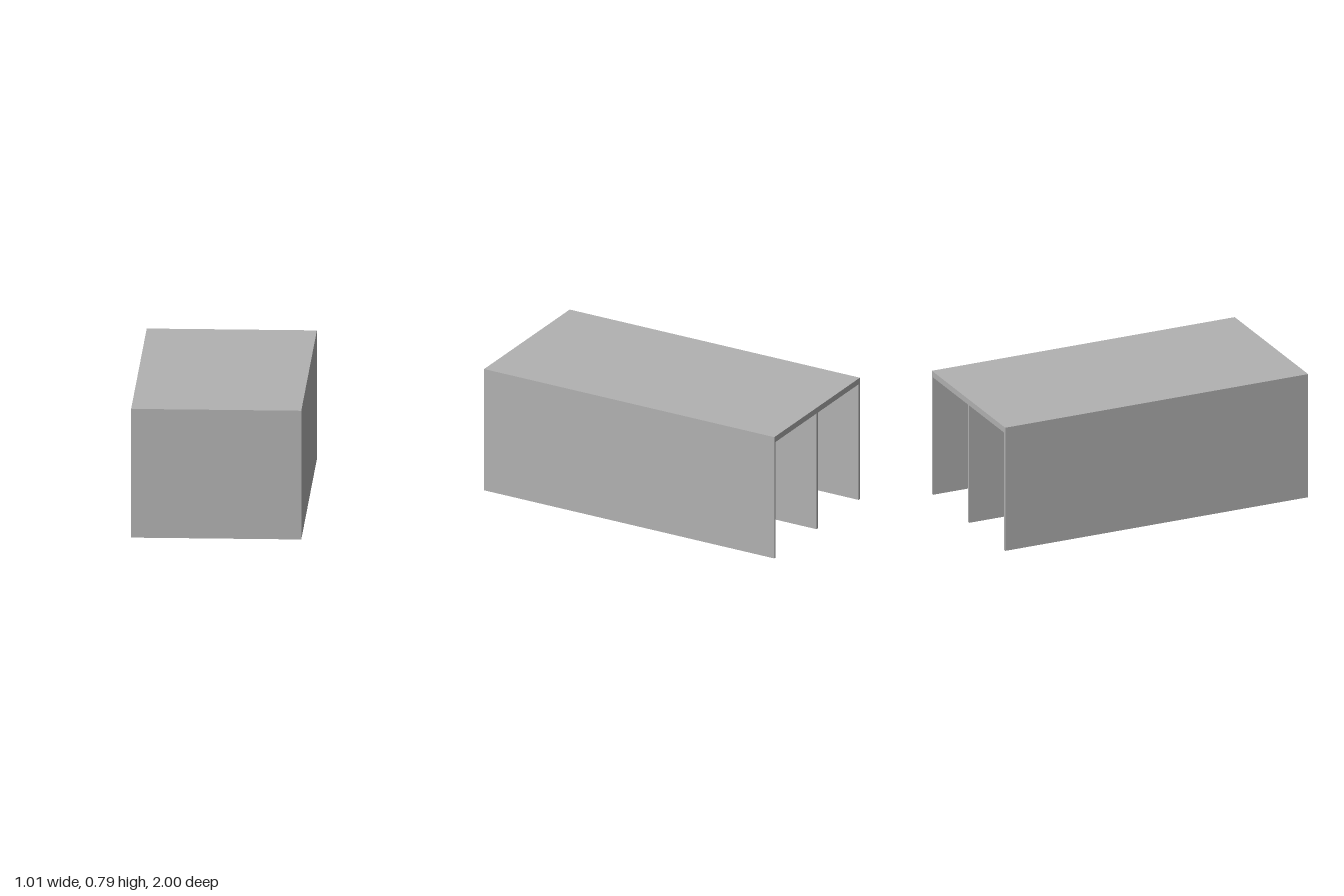
import * as THREE from 'three';

const W = 1.015, H = 0.79, L = 2;   // overall size
const WALL = 0.016, TOP = 0.037;    // panel thicknesses

export function createModel() {
  const model = new THREE.Group();
  const grey = new THREE.MeshStandardMaterial({ color: 0xb2b2b2 });
  grey.name = 'panelGrey';

  const panel = (name, w, h, d, x, y, z) => {
    const mesh = new THREE.Mesh(new THREE.BoxGeometry(w, h, d), grey);
    mesh.name = name;
    mesh.position.set(x, y, z);
    model.add(mesh);
  };

  const wallH = H - TOP;

  // Thick top board over the full footprint
  panel('topPanel', W, TOP, L, 0, H - TOP / 2, 0);

  // Closed front; the back and underside stay open
  panel('frontPanel', W, wallH, WALL, 0, wallH / 2, L / 2 - WALL / 2);

  // Two side walls and a central divider running front to back
  const side = W / 2 - WALL / 2;
  for (const [name, x] of [['leftWall', side], ['centreDivider', 0], ['rightWall', -side]]) {
    panel(name, WALL, wallH, L - WALL, x, wallH / 2, -WALL / 2);
  }

  return model;
}
